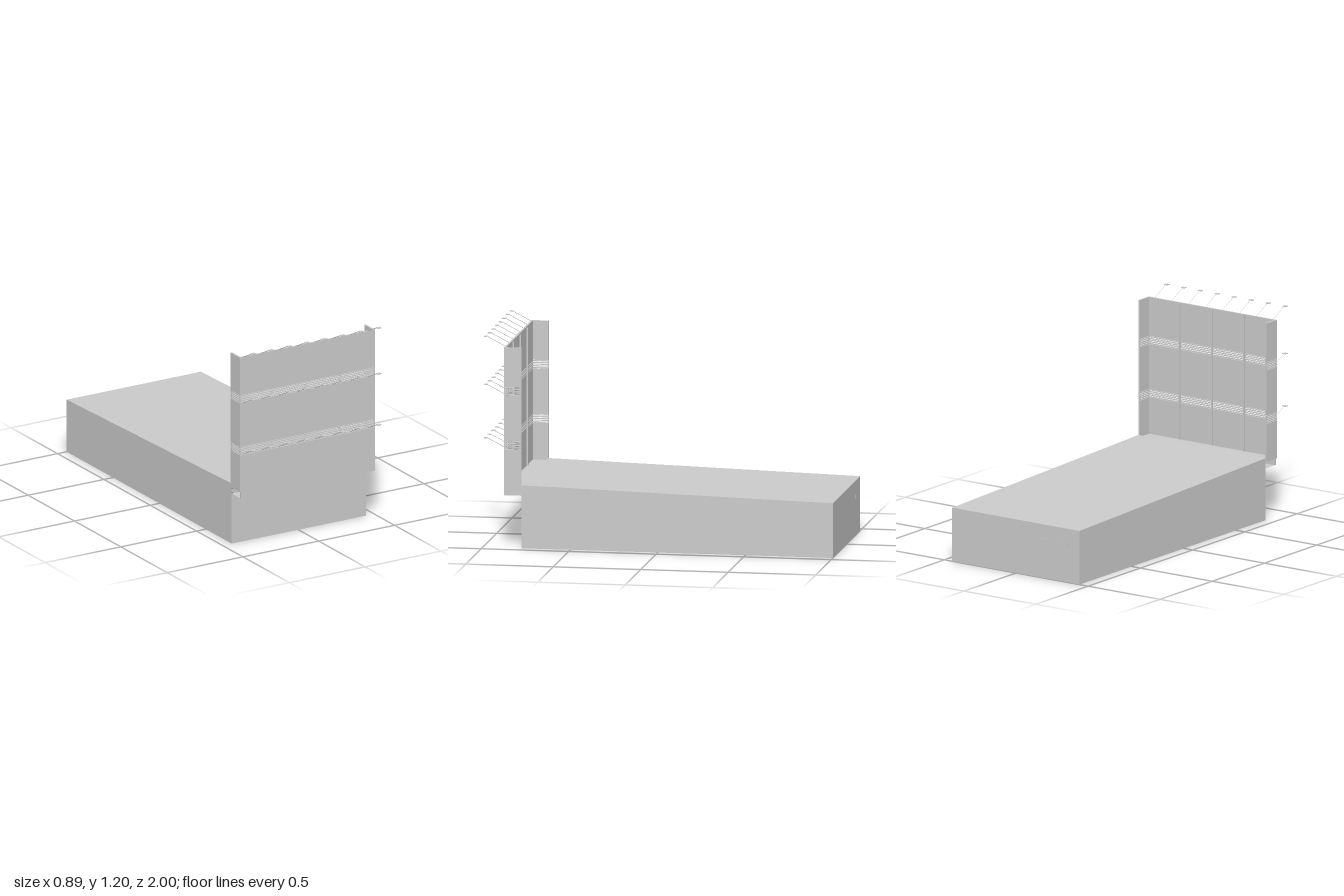
import * as THREE from 'three';

const material = new THREE.MeshStandardMaterial({ color: 0xcccccc, flatShading: true, side: THREE.DoubleSide });

export function createModel() {
  const model = new THREE.Group();
  model.name = 'signboardBuilding';

  const group = (name) => {
    const g = new THREE.Group();
    g.name = name;
    model.add(g);
    return g;
  };
  // Box given by its extents on each axis
  const box = (parent, name, [x0, x1], [y0, y1], [z0, z1]) => {
    const mesh = new THREE.Mesh(new THREE.BoxGeometry(x1 - x0, y1 - y0, z1 - z0), material);
    mesh.position.set((x0 + x1) / 2, (y0 + y1) / 2, (z0 + z1) / 2);
    mesh.name = name;
    parent.add(mesh);
  };
  // Flat sheet with four corners
  const sheet = (parent, name, ...corners) => {
    const geometry = new THREE.BufferGeometry();
    geometry.setAttribute('position', new THREE.Float32BufferAttribute(corners.flat(), 3));
    geometry.setIndex([0, 1, 2, 0, 2, 3]);
    geometry.computeVertexNormals();
    const mesh = new THREE.Mesh(geometry, material);
    mesh.name = name;
    parent.add(mesh);
  };

  // Hall: thin walls, sloping roof, open underside
  const L = -0.44, R = 0.445, front = 0.78, back = -1;
  const roofFront = 0.36, roofBack = 0.312, sill = 0.3;
  const hall = group('hall');
  sheet(hall, 'roof', [L, roofFront, front], [R, roofFront, front], [R, roofBack, back], [L, roofBack, back]);
  sheet(hall, 'frontWall', [L, 0, front], [R, 0, front], [R, sill, front], [L, sill, front]);
  sheet(hall, 'backWall', [R, 0, back], [L, 0, back], [L, roofBack, back], [R, roofBack, back]);
  sheet(hall, 'leftWall', [R, 0, front], [R, 0, back], [R, roofBack, back], [R, roofFront, front]);
  sheet(hall, 'rightWall', [L, 0, back], [L, 0, front], [L, roofFront, front], [L, roofBack, back]);
  for (const x of [-0.19, -0.325]) {
    box(hall, 'backVent', [x - 0.035, x + 0.035], [0.207, 0.233], [back - 0.002, back + 0.004]);
  }

  // Facade: three tiers of panels with returns at both ends
  const face = 0.88, skin = 0.01, left = -0.447;
  const facade = group('facade');
  const tiers = [[0.3, 0.56], [0.61, 0.87], [0.92, 1.145]];
  tiers.forEach(([y0, y1], i) => {
    box(facade, 'frontPanel', [L, R], [y0, y1], [face - skin, face]);
    box(facade, 'leftReturn', [R - skin, R], [y0, y1], [front, face]);
    box(facade, 'rightReturn', [left, left + skin], [i ? y0 : 0.34, y1], [front, face]);
  });
  sheet(facade, 'ledge', [L, 0.35, face], [R, 0.35, face], [R, 0.35, front], [L, 0.35, front]);
  sheet(facade, 'underside', [L, sill, front], [R, sill, front], [R, sill, face], [L, sill, face]);

  // Upright posts behind the panels
  for (const x of [-0.23, -0.005, 0.22]) {
    box(facade, 'post', [x - 0.003, x + 0.003], [0.35, 1.14], [face - 0.02, face - skin + 0.003]);
  }

  // Louvre bands between the tiers, wrapping round the returns
  const louvres = group('louvres');
  const slats = 5;
  for (const y0 of [0.56, 0.87]) {
    for (let i = 0; i < slats; i++) {
      const y = y0 + 0.005 + i * 0.01;
      const rise = [y - 0.0025, y + 0.0025];
      box(louvres, 'frontSlat', [left, R], rise, [face - skin, face]);
      box(louvres, 'leftSlat', [R - skin, R], rise, [front, face]);
      box(louvres, 'rightSlat', [left, left + skin], rise, [front, face]);
    }
    for (const x of [left + 0.004, R - 0.004]) {
      box(louvres, 'cornerPost', [x - 0.003, x + 0.003], [y0, y0 + 0.05], [face - 0.008, face - 0.002]);
      box(louvres, 'backPost', [x - 0.003, x + 0.003], [y0, y0 + 0.05], [front + 0.002, front + 0.008]);
    }
  }

  // Lamps on slanted arms, one row over each tier
  const lamps = group('lamps');
  for (const y of [0.565, 0.87, 1.145]) {
    for (let i = 0; i < 8; i++) {
      const x = -0.423 + i * 0.1177;
      const path = new THREE.LineCurve3(new THREE.Vector3(x, y, face - 0.002), new THREE.Vector3(x, y + 0.053, 0.981));
      const arm = new THREE.Mesh(new THREE.TubeGeometry(path, 1, 0.0018, 4), material);
      arm.name = 'lampArm';
      lamps.add(arm);
      box(lamps, 'lampHead', [x - 0.012, x + 0.012], [y + 0.051, y + 0.055], [0.98, 1]);
    }
  }
  return model;
}
